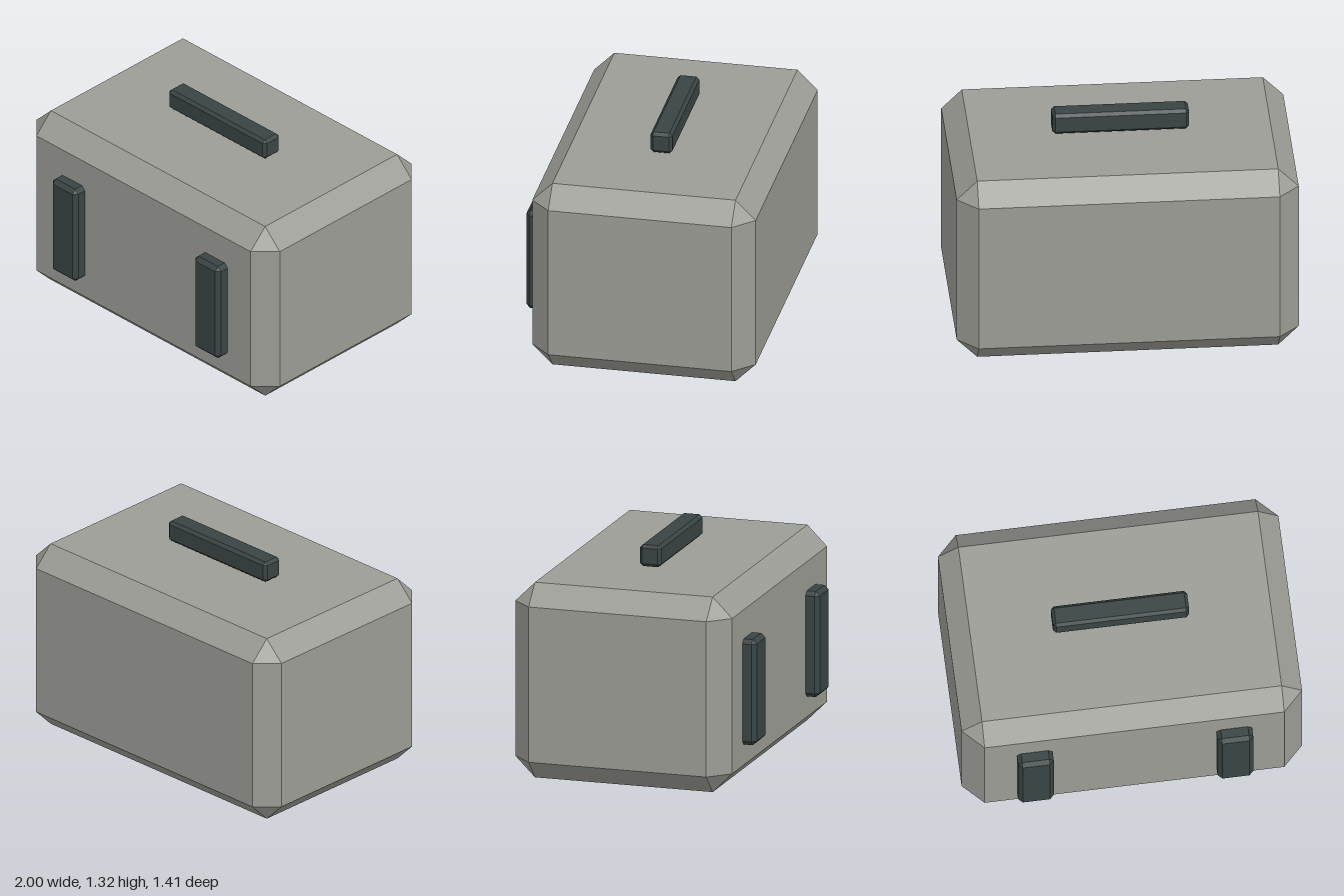
import * as THREE from 'three';
import { ConvexGeometry } from 'three/addons/geometries/ConvexGeometry.js';

// Box with every edge and corner cut at 45 degrees, as the hull of its 24 corner points
function chamferBox(w, h, d, c) {
  const points = [];
  for (const sx of [-1, 1]) for (const sy of [-1, 1]) for (const sz of [-1, 1]) {
    for (let axis = 0; axis < 3; axis++) {
      const inset = [c, c, c];
      inset[axis] = 0; // this corner point lies on the face along this axis
      points.push(new THREE.Vector3(
        sx * (w / 2 - inset[0]), sy * (h / 2 - inset[1]), sz * (d / 2 - inset[2])));
    }
  }
  return new ConvexGeometry(points);
}

export function createModel() {
  const model = new THREE.Group();
  model.name = 'case';
  const shell = new THREE.MeshStandardMaterial({ color: 0x9c9d96, flatShading: true });
  const dark = new THREE.MeshStandardMaterial({ color: 0x3a4444, flatShading: true });

  const add = (name, material, size, chamfer, position) => {
    const mesh = new THREE.Mesh(chamferBox(...size, chamfer), material);
    mesh.name = name;
    mesh.position.set(...position);
    model.add(mesh);
  };

  // Main body
  add('body', shell, [2, 1.175, 1.33], 0.12, [0, 0.5875, -0.04]);

  // Carrying handle, floating just above the lid
  add('handle', dark, [0.8, 0.13, 0.13], 0.018, [0, 1.255, -0.04]);

  // Pair of latches set into the front
  for (const side of [-1, 1]) {
    add(side > 0 ? 'leftLatch' : 'rightLatch', dark,
      [0.21, 0.636, 0.16], 0.025, [side * 0.586, 0.562, 0.625]);
  }
  return model;
}
